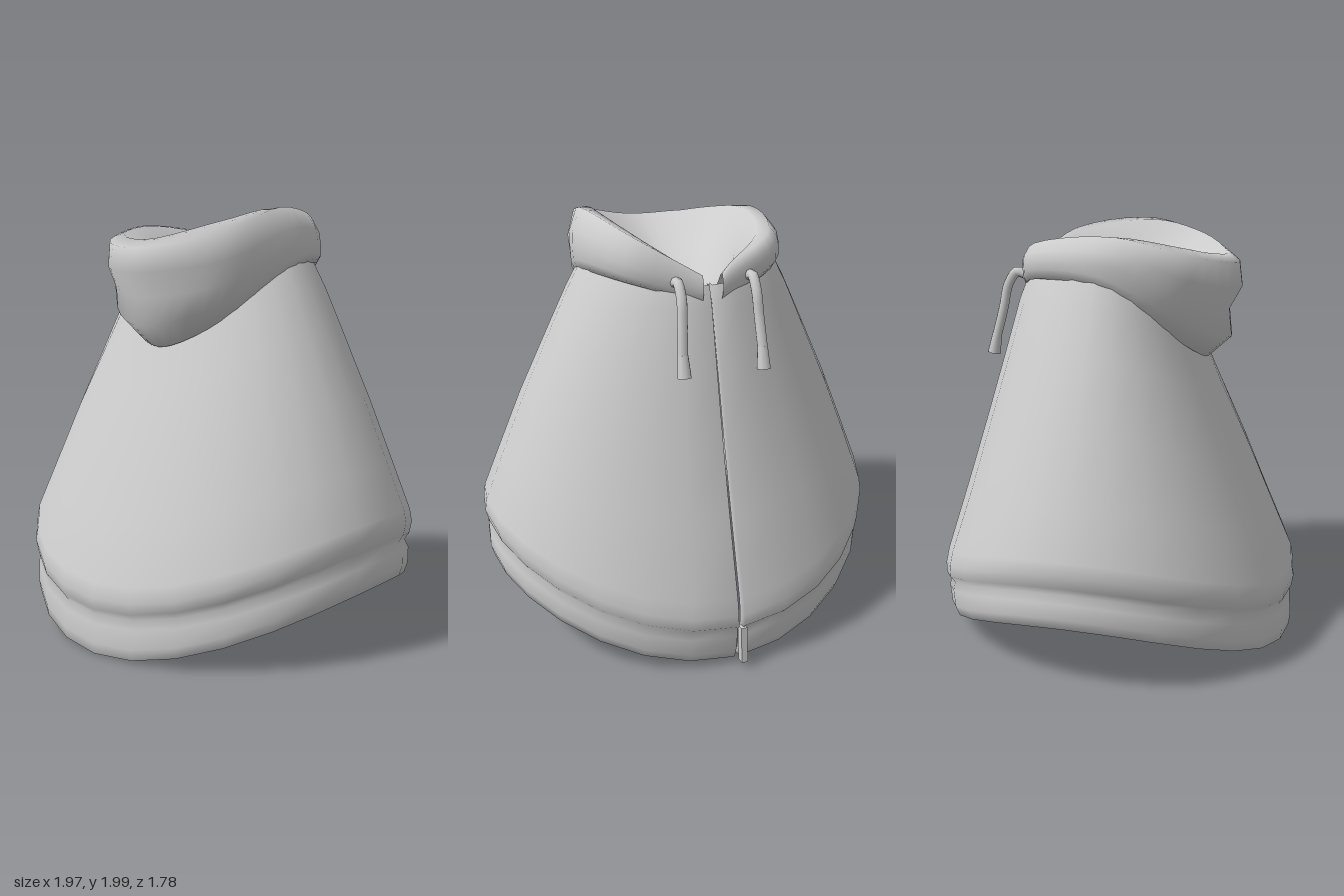
import * as THREE from 'three';

const fabric = new THREE.MeshStandardMaterial({ color: 0xcccccc, side: THREE.DoubleSide });
fabric.name = 'grey fabric';

// Smooth surface through a grid of points: rows go up, columns go round.
function loft(name, rows) {
  const n = rows[0].length;
  const pos = rows.flat().flatMap((p) => [p.x, p.y, p.z]);
  const index = [];
  for (let i = 0; i < rows.length - 1; i++) {
    for (let j = 0; j < n - 1; j++) {
      const a = i * n + j, b = a + n;
      index.push(a, a + 1, b + 1, a, b + 1, b);
    }
  }
  const g = new THREE.BufferGeometry();
  g.setAttribute('position', new THREE.Float32BufferAttribute(pos, 3));
  g.setIndex(index);
  g.computeVertexNormals();
  const m = new THREE.Mesh(g, fabric);
  m.name = name;
  return m;
}

// Flared body, open along the back seam.
// Each ring: side radius, front z, back z, then height at front, side and back.
function makeBody() {
  const rings = [
    [0.93, 0.85, 0.80, 0.07, 0.38, 0.10],
    [0.945, 0.865, 0.81, 0.005, 0.32, 0.035],
    [0.96, 0.88, 0.825, 0.00, 0.31, 0.025],
    [0.973, 0.885, 0.845, 0.05, 0.36, 0.07],
    [0.972, 0.88, 0.855, 0.14, 0.43, 0.16],
    [0.95, 0.865, 0.85, 0.18, 0.465, 0.20],
    [0.97, 0.885, 0.872, 0.21, 0.50, 0.225],
    [0.985, 0.893, 0.868, 0.26, 0.56, 0.28],
    [0.975, 0.88, 0.85, 0.33, 0.62, 0.36],
    [0.89, 0.77, 0.735, 0.58, 0.83, 0.73],
    [0.77, 0.64, 0.645, 0.88, 1.12, 1.03],
    [0.63, 0.50, 0.55, 1.18, 1.42, 1.37],
    [0.53, 0.41, 0.48, 1.38, 1.63, 1.63],
    [0.46, 0.36, 0.445, 1.50, 1.76, 1.72],
  ];
  const half = 14, end = Math.PI - 0.015;
  const angles = [];
  for (let j = -half; j <= half; j++) angles.push((j / half) * end);
  const rows = rings.map(([rx, zf, zb, yf, ys, yb]) => {
    const row = angles.map((a) => {
      const s = Math.sin(a), c = Math.cos(a);
      const y = ys * s * s + (c > 0 ? yf : yb) * c * c;
      return new THREE.Vector3(rx * s, y, (c > 0 ? zf : zb) * c);
    });
    // seam edges turn inward
    const lip = (p) => new THREE.Vector3(Math.sign(p.x) * 0.006, p.y, p.z + 0.035);
    return [lip(row[0]), ...row, lip(row[row.length - 1])];
  });
  return loft('body', rows);
}

// Folded hood collar: cross-sections from the front centre to the back opening,
// each running from the lower edge over the rim and down to the neck hole.
function makeCollar() {
  const front = [[0, 1.40, 0.38], [0, 1.35, 0.44], [0, 1.45, 0.55], [0, 1.58, 0.535], [0, 1.69, 0.595],
    [0, 1.80, 0.58], [0, 1.84, 0.52], [0, 1.70, 0.22], [0, 1.60, 0.0]];
  const sections = [
    [[0.26, 1.52, 0.27], [0.28, 1.47, 0.33], [0.33, 1.55, 0.39], [0.34, 1.64, 0.39], [0.365, 1.74, 0.41],
      [0.36, 1.87, 0.40], [0.31, 1.92, 0.35], [0.17, 1.72, 0.13], [0.10, 1.60, -0.03]],
    [[0.43, 1.75, 0.02], [0.468, 1.71, 0.02], [0.485, 1.76, 0.03], [0.485, 1.82, 0.04], [0.48, 1.89, 0.05],
      [0.43, 1.985, 0.09], [0.375, 1.98, 0.09], [0.25, 1.77, -0.05], [0.15, 1.60, -0.12]],
    [[0.30, 1.76, -0.30], [0.34, 1.73, -0.33], [0.36, 1.77, -0.34], [0.36, 1.82, -0.34], [0.35, 1.87, -0.34],
      [0.325, 1.935, -0.32], [0.285, 1.92, -0.28], [0.19, 1.76, -0.25], [0.14, 1.60, -0.22]],
    [[0.03, 1.68, -0.42], [0.04, 1.64, -0.455], [0.045, 1.67, -0.47], [0.045, 1.70, -0.475], [0.045, 1.73, -0.475],
      [0.045, 1.77, -0.46], [0.045, 1.76, -0.44], [0.04, 1.70, -0.41], [0.035, 1.60, -0.36]],
  ];
  const rows = front.map((f, i) => {
    const left = sections.map((s) => new THREE.Vector3(...s[i]));
    const right = left.map((p) => new THREE.Vector3(-p.x, p.y, p.z)).reverse();
    const curve = new THREE.CatmullRomCurve3([...right, new THREE.Vector3(...f), ...left]);
    return Array.from({ length: 41 }, (_, k) => {
      const p = curve.getPoint(k / 40);
      // the right side of the rim sags a little
      if (p.x < 0) p.y -= Math.max(0, p.y - 1.8) * 0.3 * Math.min(1, -p.x / 0.2);
      return p;
    });
  });
  return loft('collar', rows);
}

// Drawstring hanging from the back of the collar, with a thicker tip.
function makeDrawstring(side, x, reach) {
  const g = new THREE.Group();
  g.name = side + 'Drawstring';
  const path = [[0, 1.74, -0.42], [0, 1.75, -0.46], [0, 1.69, -0.505], [0.005, 1.58, -0.53], [0.01, 1.45, -0.55 - reach]]
    .map(([dx, y, z]) => new THREE.Vector3(x + dx * Math.sign(x), y, z));
  const cord = new THREE.Mesh(
    new THREE.TubeGeometry(new THREE.CatmullRomCurve3(path), 16, 0.024, 8), fabric);
  cord.name = 'cord';
  const tip = new THREE.Mesh(new THREE.CylinderGeometry(0.024, 0.033, 0.1, 8), fabric);
  tip.name = 'cordTip';
  tip.position.set(path[4].x, 1.405, -0.56 - reach);
  tip.rotation.x = 0.2;
  g.add(cord, tip);
  return g;
}

export function createModel() {
  const model = new THREE.Group();
  model.name = 'hoodedCape';
  model.add(makeBody(), makeCollar());
  model.add(makeDrawstring('left', 0.16, 0), makeDrawstring('right', -0.19, 0.015));

  // Seam tab at the back hem
  const tab = new THREE.Mesh(new THREE.BoxGeometry(0.03, 0.18, 0.04), fabric);
  tab.name = 'seamTab';
  tab.position.set(-0.012, 0.12, -0.86);
  tab.rotation.x = 0.1;
  model.add(tab);
  return model;
}
